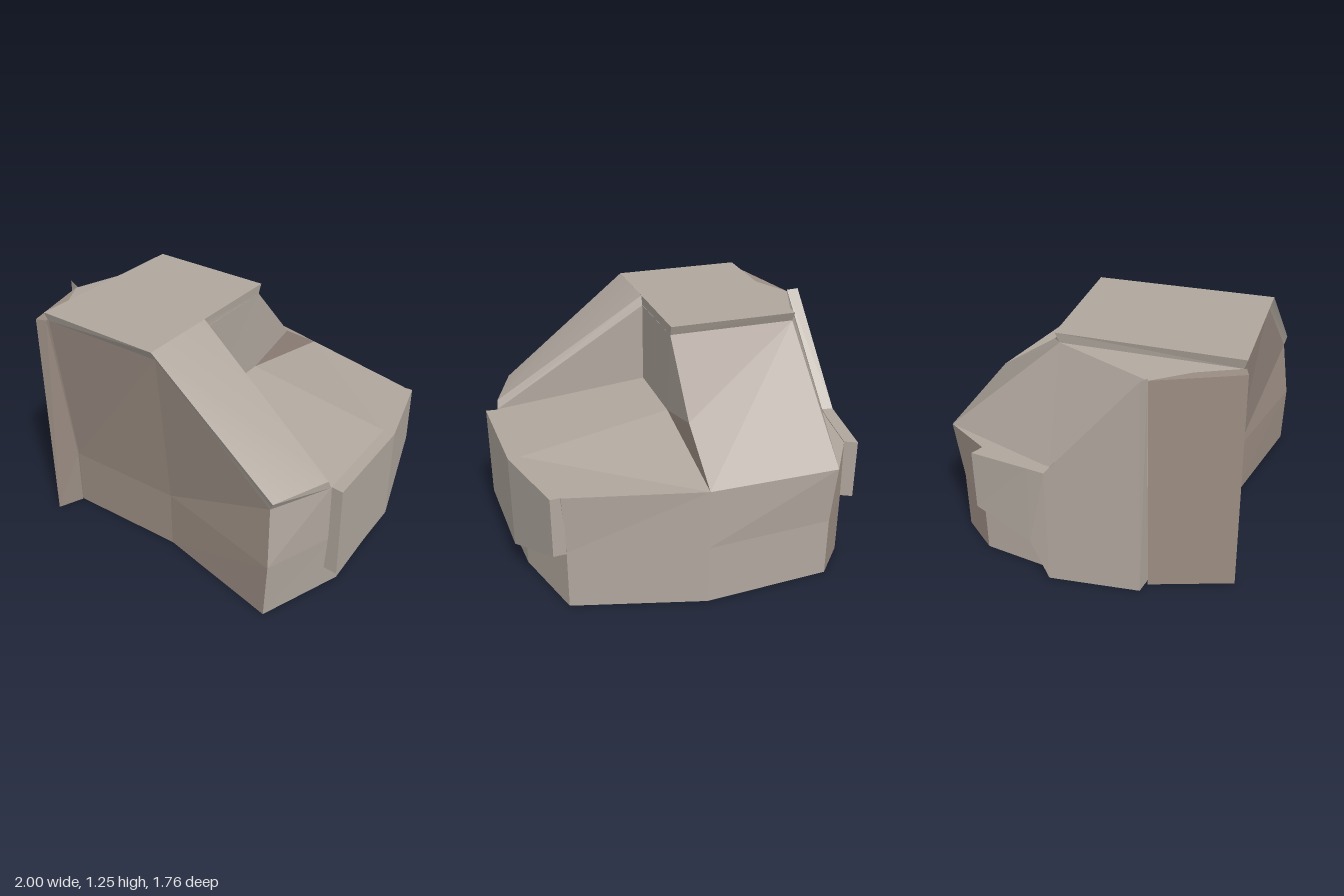
import * as THREE from 'three';
import { toCreasedNormals } from 'three/addons/utils/BufferGeometryUtils.js';

const stone = new THREE.MeshStandardMaterial({ color: 0xb0a79e });
const darkStone = new THREE.MeshStandardMaterial({ color: 0x9b8d83 });

// Faceted mesh from triangles of [x, y, z] corners; flipped if it is inside out.
function solid(name, tris, material = stone) {
  const v = (p) => new THREE.Vector3(...p);
  const volume = tris.reduce((s, [a, b, c]) => s + v(a).dot(v(b).cross(v(c))), 0);
  const ordered = volume < 0 ? tris.map(([a, b, c]) => [a, c, b]) : tris;
  const geometry = new THREE.BufferGeometry();
  geometry.setAttribute('position', new THREE.Float32BufferAttribute(ordered.flat(2), 3));
  geometry.computeVertexNormals();
  const mesh = new THREE.Mesh(geometry, material);
  mesh.name = name;
  return mesh;
}

const fan = (pts) => pts.slice(2).map((p, i) => [pts[0], pts[i + 1], p]);

// Closed slab lofted through matching cross-sections.
function loft(name, sections, material) {
  const tris = [];
  for (let s = 0; s < sections.length - 1; s++) {
    const a = sections[s], b = sections[s + 1];
    a.forEach((p, i) => {
      const j = (i + 1) % a.length;
      tris.push([p, b[i], a[j]], [a[j], b[i], b[j]]);
    });
  }
  tris.push(...fan(sections[0]), ...fan([...sections.at(-1)].reverse()));
  return solid(name, tris, material);
}

// Main boulder: three outline rings, then the stepped top; some faces are darker stone.
function makeCore() {
  const base = {
    A: [-0.84, 0, -0.55], B: [-0.22, 0, -0.8], C: [0.47, 0, -0.845], D: [0.73, 0, -0.48],
    E: [0.92, 0, -0.03], G: [0.91, 0, 0.44], H: [0.2, 0, 0.515], I: [-0.42, 0, 0.73],
    J: [-0.67, 0, 0.5], K: [-0.87, 0, 0.08], L: [-0.93, 0, -0.33],
  };
  const top = {
    A: [-0.86, 0.64, -0.58], B: [-0.22, 0.64, -0.8], C: [0.48, 0.64, -0.865], D: [0.73, 0.64, -0.47],
    E: [0.94, 0.64, 0.07], G: [0.905, 0.645, 0.41], H: [0.262, 1.2, 0.605], I: [-0.385, 1.2, 0.832],
    J: [-0.69, 1.18, 0.52], K: [-0.87, 0.64, 0.08], L: [-0.93, 0.64, -0.3],
    // inner corners of the plateau, back slope and right-hand shelf
    P: [-0.66, 1.2, 0], Q: [-0.025, 1.2, -0.215], R: [0.13, 1.2, 0.22],
    M: [-0.12, 0.85, -0.5], V: [0.13, 0.77, 0.22], W: [-0.01, 0.77, -0.19],
  };
  const names = [...'ABCDEGHIJKL'];
  const mid = Object.fromEntries(names.map((n) => [n, [base[n][0], 0.32, base[n][2]]]));
  mid.E = [0.94, 0.32, 0.02];
  mid.G = [0.935, 0.32, 0.44];

  const light = fan(names.map((n) => base[n]));
  const dark = [];
  for (const [lo, hi] of [[base, mid], [mid, top]]) {
    names.forEach((n, i) => {
      const m = names[(i + 1) % names.length];
      const side = 'GHL'.includes(n) ? dark : light;
      side.push([lo[n], hi[n], lo[m]], [lo[m], hi[n], hi[m]]);
    });
  }
  // plateau, ridge slope, back slope, shelf, inner walls, left wall
  const faces = ['PJIHRQ', 'HGER', 'PMBA', 'DCB', 'WDB', 'EDW', 'EWV',
    'VRE', 'VWQR', 'WMQ', 'ALK', 'KPA', 'JPK'];
  for (const f of faces) light.push(...fan([...f].map((n) => top[n])));
  for (const f of ['PQM', 'WBM']) dark.push([...f].map((n) => top[n]));

  const core = new THREE.Group();
  core.name = 'boulderCore';
  core.add(solid('lightFaces', light), solid('darkFaces', dark, darkStone));
  return core;
}

export function createModel() {
  const group = new THREE.Group();
  group.name = 'rock';
  group.add(makeCore());

  // Cap over the plateau, overhanging a little all round.
  group.add(loft('topSlab', [
    [[-0.67, 1.25, -0.02], [-0.39, 1.25, 0.85], [-0.385, 1.2, 0.832], [-0.66, 1.2, 0]],
    [[-0.03, 1.25, -0.235], [0.27, 1.25, 0.63], [0.262, 1.2, 0.605], [-0.025, 1.2, -0.215]],
  ]));

  // Twisted slab running down the right ridge, softly shaded across its twist.
  const ridge = loft('ridgeSlab', [
    [[0.135, 1.25, 0.24], [0.27, 1.25, 0.63], [0.262, 1.2, 0.605], [0.13, 1.2, 0.22]],
    [[0.94, 0.685, 0.09], [0.93, 0.69, 0.415], [0.905, 0.645, 0.41], [0.94, 0.64, 0.07]],
  ]);
  ridge.geometry = toCreasedNormals(ridge.geometry, 0.4);
  group.add(ridge);

  // Wall slab round the back right: outer edge, inner edge, lower height.
  const rightWall = [
    [0.53, -0.88, 0.47, -0.855, 0.32],
    [0.79, -0.49, 0.72, -0.47, 0.125],
    [1.0, 0.05, 0.92, 0.07, 0.125],
  ];
  group.add(loft('rightWallSlab', rightWall.map(([x, z, u, w, y]) =>
    [[x, y, z], [x, 0.64, z], [u, 0.64, w], [u, y, w]])));

  // Wall slab on the left, rising to the front, its lower edge lifting to the back.
  group.add(loft('leftWallSlab', [
    [[-0.75, 0, 0.52], [-0.75, 1.2, 0.52], [-0.69, 1.19, 0.52], [-0.67, 0, 0.51]],
    [[-0.935, 0, 0.09], [-0.93, 0.645, 0.09], [-0.87, 0.645, 0.08], [-0.87, 0, 0.08]],
    [[-0.96, 0.21, 0], [-0.945, 0.645, 0], [-0.88, 0.645, -0.01], [-0.88, 0.21, -0.01]],
    [[-1.0, 0.32, -0.31], [-1.0, 0.645, -0.31], [-0.93, 0.645, -0.3], [-0.93, 0.32, -0.3]],
  ]));

  // Upright slab on the front left corner, filled in to the core behind it.
  group.add(loft('frontCornerSlab', [
    [[-0.43, 0, 0.88], [-0.43, 1.205, 0.88], [-0.385, 1.205, 0.845], [-0.42, 0.32, 0.735], [-0.42, 0, 0.735]],
    [[-0.69, 0, 0.525], [-0.69, 1.18, 0.525], [-0.65, 1.18, 0.5], [-0.65, 0.32, 0.5], [-0.65, 0, 0.5]],
  ], darkStone));
  return group;
}
